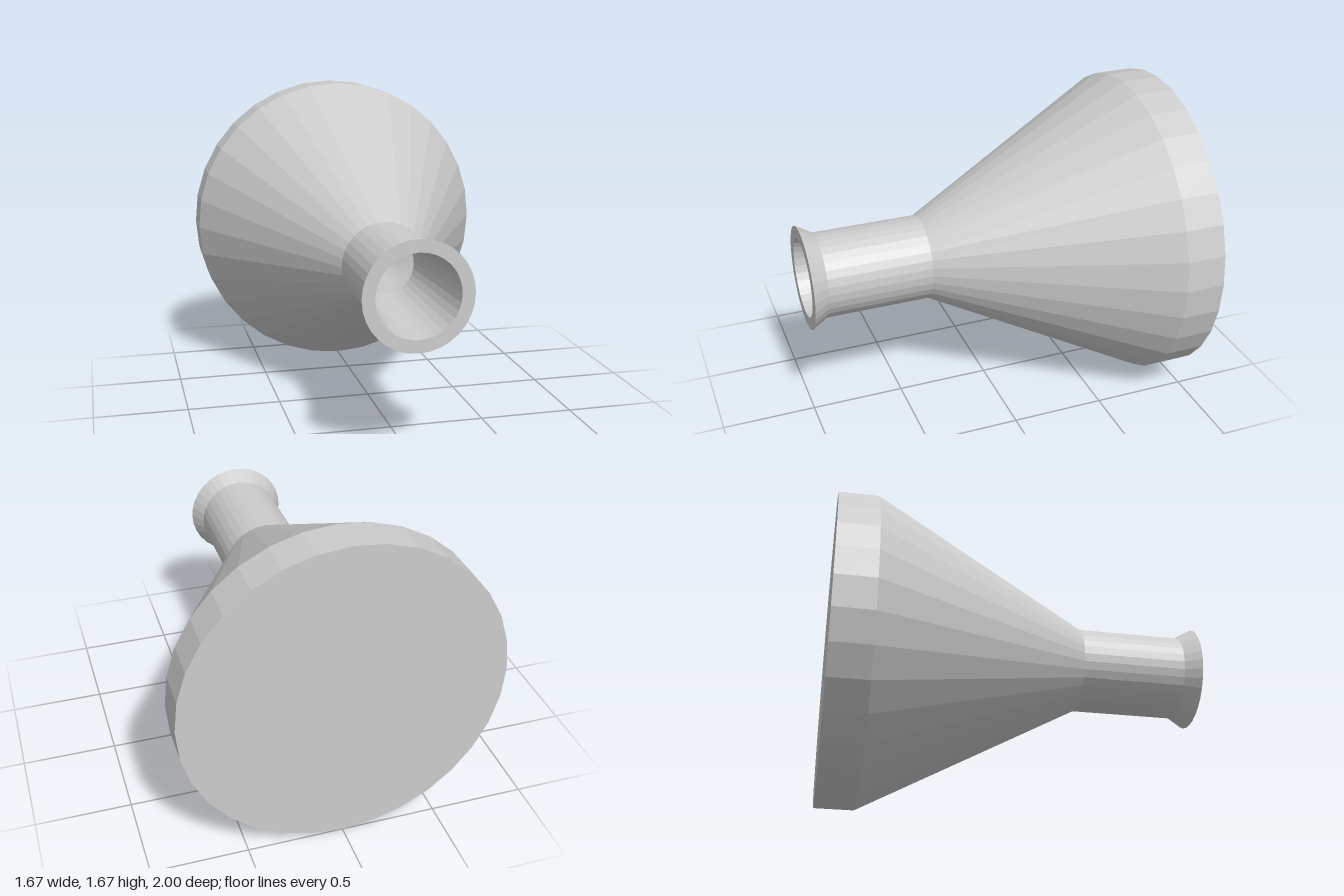
import * as THREE from 'three';

const SIDES = 32;
const CENTER_Y = 0.835;

export function createModel() {
  const model = new THREE.Group();
  const material = new THREE.MeshStandardMaterial({ color: 0xcccccc, flatShading: true });

  // Revolves [radius, z] pairs, listed from back to front, around the z axis
  const addTurned = (name, profile) => {
    const points = profile.map(([r, z]) => new THREE.Vector2(r, z));
    const geometry = new THREE.LatheGeometry(points, SIDES);
    geometry.rotateX(Math.PI / 2);
    const mesh = new THREE.Mesh(geometry, material);
    mesh.name = name;
    mesh.position.y = CENTER_Y;
    model.add(mesh);
  };

  // Closed back, short straight band and cone down to the neck
  addTurned('funnelBody', [[0, -1], [0.835, -1], [0.835, -0.79], [0.225, 0.36]]);

  // Straight neck with a flared lip and its flat front ring
  addTurned('neckAndLip', [[0.225, 0.36], [0.225, 0.915], [0.275, 1], [0.21, 1]]);

  // Tapered bore, closed by a shallow conical floor
  addTurned('bore', [[0.21, 1], [0.157, 0.36], [0, 0.33]]);

  return model;
}
